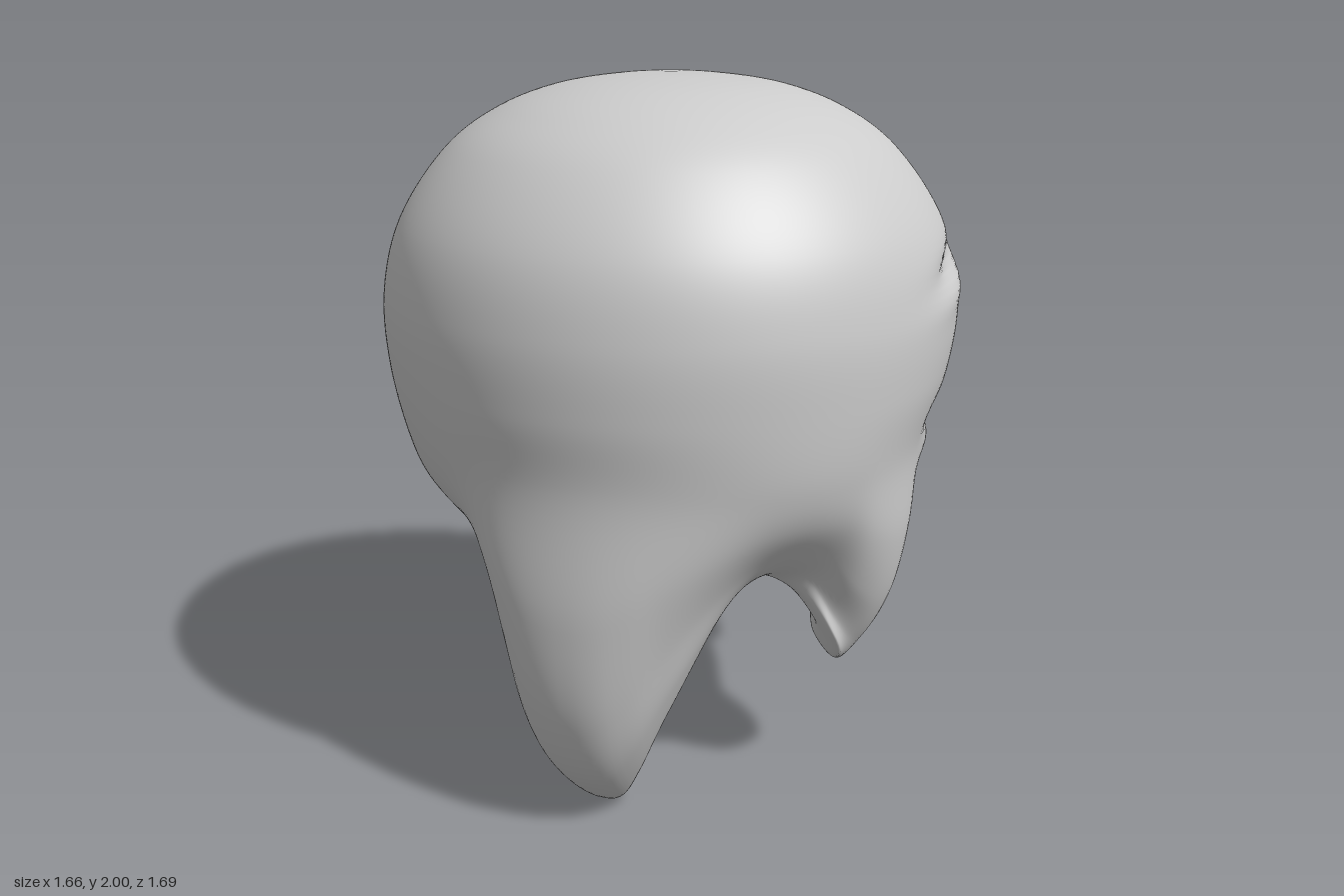
import * as THREE from 'three';
import { mergeVertices } from 'three/addons/utils/BufferGeometryUtils.js';

const COLS = 240, ROWS = 160, UNDER = 0.67;
const lerp = THREE.MathUtils.lerp;
const bell = (d, w) => Math.exp(-(d * d) / (w * w));

// Height of the lower rim by angle from the face (+x), in degrees: one half, mirrored in z
const rimCurve = new THREE.SplineCurve([
  [0, 0.645], [10, 0.64], [19, 0.625], [26, 0.58], [32, 0.43], [39, 0.355], [46, 0.385], [53, 0.48],
  [60, 0.62], [68, 0.67], [76, 0.665], [83, 0.61], [91, 0.48], [99, 0.31], [106, 0.13], [112, 0.02],
  [119, 0.0], [126, 0.06], [132, 0.21], [137, 0.42], [142, 0.6], [149, 0.69], [159, 0.72], [170, 0.72],
  [180, 0.72],
].map(([a, y]) => new THREE.Vector2(a, y))).getPoints(480);

function rimHeight(deg) {
  const i = Math.max(1, rimCurve.findIndex((p) => p.x >= deg - 1e-6));
  const p = rimCurve[i - 1], q = rimCurve[i];
  return Math.max(0, lerp(p.y, q.y, (deg - p.x) / (q.x - p.x)));
}

// Profile of one column: crown, wall, rim, then the inside of the leg and the underside
function column(angle) {
  const c = Math.cos(angle), deg = THREE.MathUtils.radToDeg(Math.abs(angle));
  const m = rimHeight(deg);
  const k = THREE.MathUtils.clamp((0.68 - m) / 0.68, 0, 1);
  const front = Math.max(0, c), flat = c ** 4 * (c > 0 ? 0.12 : 0.045);
  const wall = 1 - flat;
  const tip = 0.045 * front + 0.09 * bell(deg - 54, 9);
  const flank = 0.45 * k * (1 - k) * (1 - front);
  const down = (t) => lerp(1, m, t), up = (t) => lerp(m, UNDER, t);
  const pts = [
    [0, 2], [0.15, 1.994], [0.34, 1.963], [0.5, 1.902], [0.64, 1.803], [0.785, 1.6],
    [0.838, 1.4], [0.843 * (1 - flat * 0.3), 1.2], [0.825 * wall, 1],
    [lerp(0.785, 0.845, k) * wall, down(0.35)],
    [lerp(0.71, 0.81, k) * lerp(1, wall, 0.7), down(0.65)],
    [(lerp(0.63, 0.7, k) + flank * 0.4) * lerp(1, wall, 0.5), down(0.87)],
    [0.51 + tip + flank, m],
    [0.44 + tip + flank * 0.8, up(0.2)], [0.42 + tip + flank * 0.5, up(0.6)],
    [0.34, up(0.92)], [0.18, UNDER], [0, UNDER],
  ];
  return new THREE.CatmullRomCurve3(pts.map(([r, y]) => new THREE.Vector3(r, y, 0))).getPoints(ROWS);
}

// Creased closed eyes and a wide lipped mouth pressed into the +x side
function faceRelief(y, z) {
  const s = Math.abs(z);
  const eyeY = 1.53 - 0.18 * Math.max(0, s - 0.14);
  const eye = bell(s - 0.32, 0.16) *
    (0.01 * bell(y - eyeY + 0.07, 0.04) - 0.028 * bell(y - eyeY, 0.04));
  const mouthY = 1.055 + 0.03 * THREE.MathUtils.smoothstep(s, 0.1, 0.4);
  const width = 1 - THREE.MathUtils.smoothstep(s, 0.25, 0.48);
  const mouth = width * (0.022 * bell(y - mouthY + 0.1, 0.06) - 0.04 * bell(y - mouthY, 0.035));
  return eye + mouth;
}

function bodyGeometry() {
  const pos = [], index = [], n = ROWS + 1;
  for (let i = 0; i < COLS; i++) {
    const a = (i / COLS) * Math.PI * 2 - Math.PI, c = Math.cos(a), s = Math.sin(a);
    column(a).forEach((p, j) => {
      const outside = c > 0 && p.y > 0.8;
      const r = Math.max(0, p.x) + (outside ? faceRelief(p.y, p.x * s) * Math.min(1, c * 2) : 0);
      const pole = j === 0 || j === ROWS;
      pos.push(pole ? 0 : r * c * 0.985, Math.max(0, p.y), pole ? 0 : r * s);
      if (j < ROWS) {
        const v = i * n + j, w = ((i + 1) % COLS) * n + j;
        if (j > 0) index.push(v, w, v + 1);
        if (j < ROWS - 1) index.push(w, w + 1, v + 1);
      }
    });
  }
  let geo = new THREE.BufferGeometry();
  geo.setAttribute('position', new THREE.Float32BufferAttribute(pos, 3));
  geo.setIndex(index);
  geo = mergeVertices(geo, 1e-5);
  geo.computeVertexNormals();
  return geo;
}

export function createModel() {
  const group = new THREE.Group();
  group.name = 'domedCreature';
  const body = new THREE.Mesh(bodyGeometry(), new THREE.MeshStandardMaterial({ color: 0xcccccc }));
  body.name = 'bodyWithFourLegs';
  group.add(body);
  return group;
}
